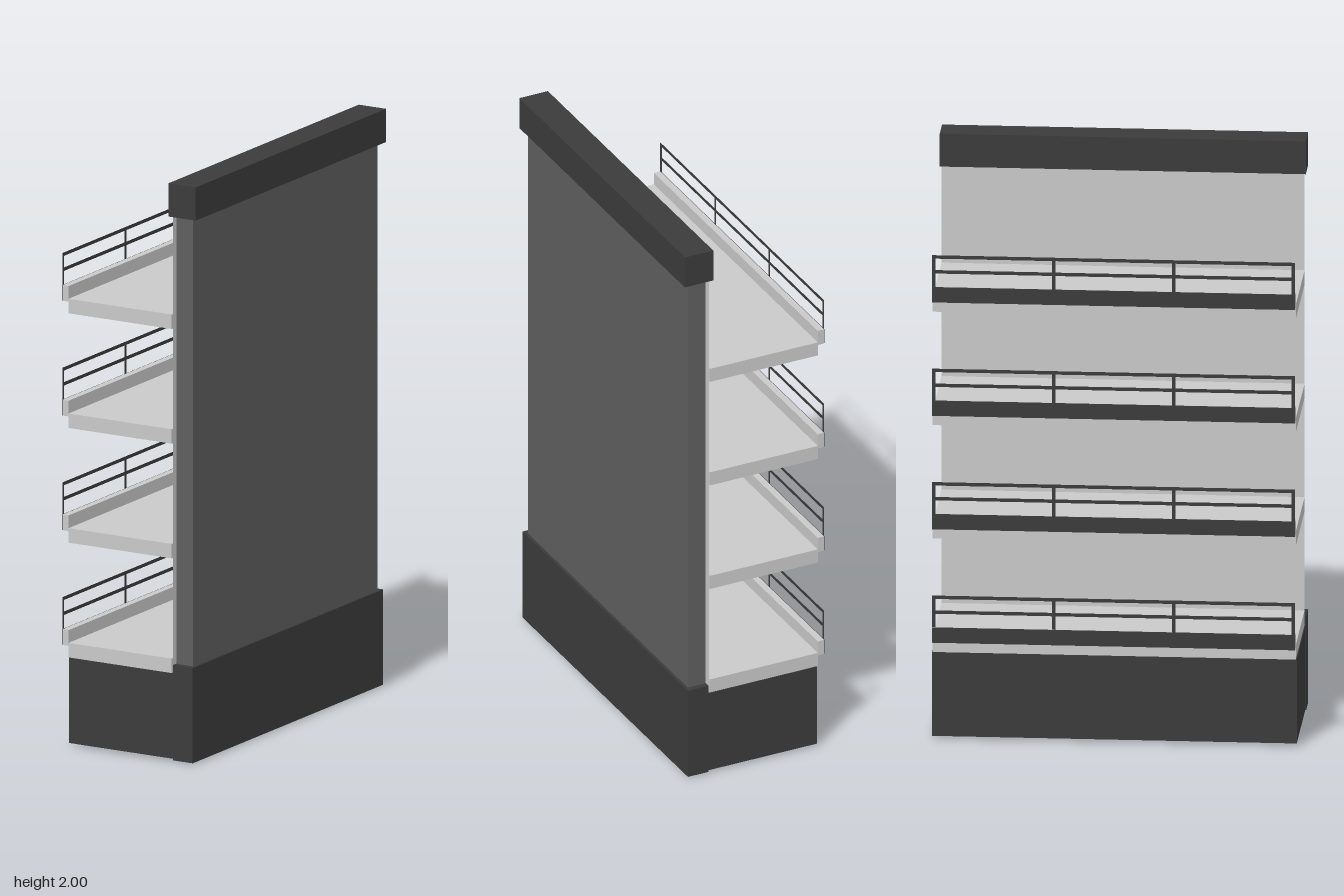
import * as THREE from 'three';

const material = (name, color, side = THREE.FrontSide) => {
  const m = new THREE.MeshStandardMaterial({ color, side });
  m.name = name;
  return m;
};

export function createModel() {
  const dark = material('charcoal', 0x3b3b3b, THREE.DoubleSide);
  const grey = material('midGrey', 0x5f5f5f);
  const light = material('lightGrey', 0xc9c9c9, THREE.DoubleSide);

  const model = new THREE.Group();
  model.name = 'shelvingUnit';

  // Box given by its x and y limits and its full length along z
  const box = (parent, name, mat, x0, x1, y0, y1, length) => {
    const mesh = new THREE.Mesh(new THREE.BoxGeometry(x1 - x0, y1 - y0, length), mat);
    mesh.name = name;
    mesh.position.set((x0 + x1) / 2, (y0 + y1) / 2, 0);
    parent.add(mesh);
    return mesh;
  };

  // Flat sheet facing -x
  const sheet = (parent, name, mat, x, y0, y1, z0, z1) => {
    const mesh = new THREE.Mesh(new THREE.PlaneGeometry(z1 - z0, y1 - y0), mat);
    mesh.name = name;
    mesh.rotation.y = -Math.PI / 2;
    mesh.position.set(x, (y0 + y1) / 2, (z0 + z1) / 2);
    parent.add(mesh);
    return mesh;
  };

  // Base, wall and top beam
  box(model, 'plinth', dark, -0.235, 0.174, 0.01, 0.305, 1.226);
  box(model, 'wallFoot', dark, 0.172, 0.25, 0.005, 0.335, 1.23);
  box(model, 'wall', grey, 0.174, 0.24, 0, 1.9, 1.19);
  sheet(model, 'backPanel', light, 0.169, 0.3, 1.886, -0.61, 0.61);
  box(model, 'topBeam', dark, 0.155, 0.262, 1.885, 2, 1.23);

  // Four shelves, each with a raised lip, a dark front strip and a guard rail
  const half = 0.61, bar = 0.012, railX = -0.264;
  for (let i = 0; i < 4; i++) {
    const shelf = new THREE.Group();
    shelf.name = `shelf${i + 1}`;
    shelf.position.y = 0.305 + i * 0.397;
    model.add(shelf);

    box(shelf, 'board', light, -0.24, 0.165, 0, 0.05, 2 * half);
    box(shelf, 'lip', light, -0.264, -0.24, 0.04, 0.094, 2 * half);
    sheet(shelf, 'frontStrip', dark, -0.2655, 0.04, 0.094, -half, half);

    for (const top of [0.153, 0.205])
      sheet(shelf, 'railBar', dark, railX, top - bar, top, -half, half);
    for (let p = 0; p < 4; p++) {
      const z = -half + (p / 3) * (2 * half - bar);
      sheet(shelf, 'railPost', dark, railX, 0.09, 0.205, z, z + bar);
    }
  }

  return model;
}
